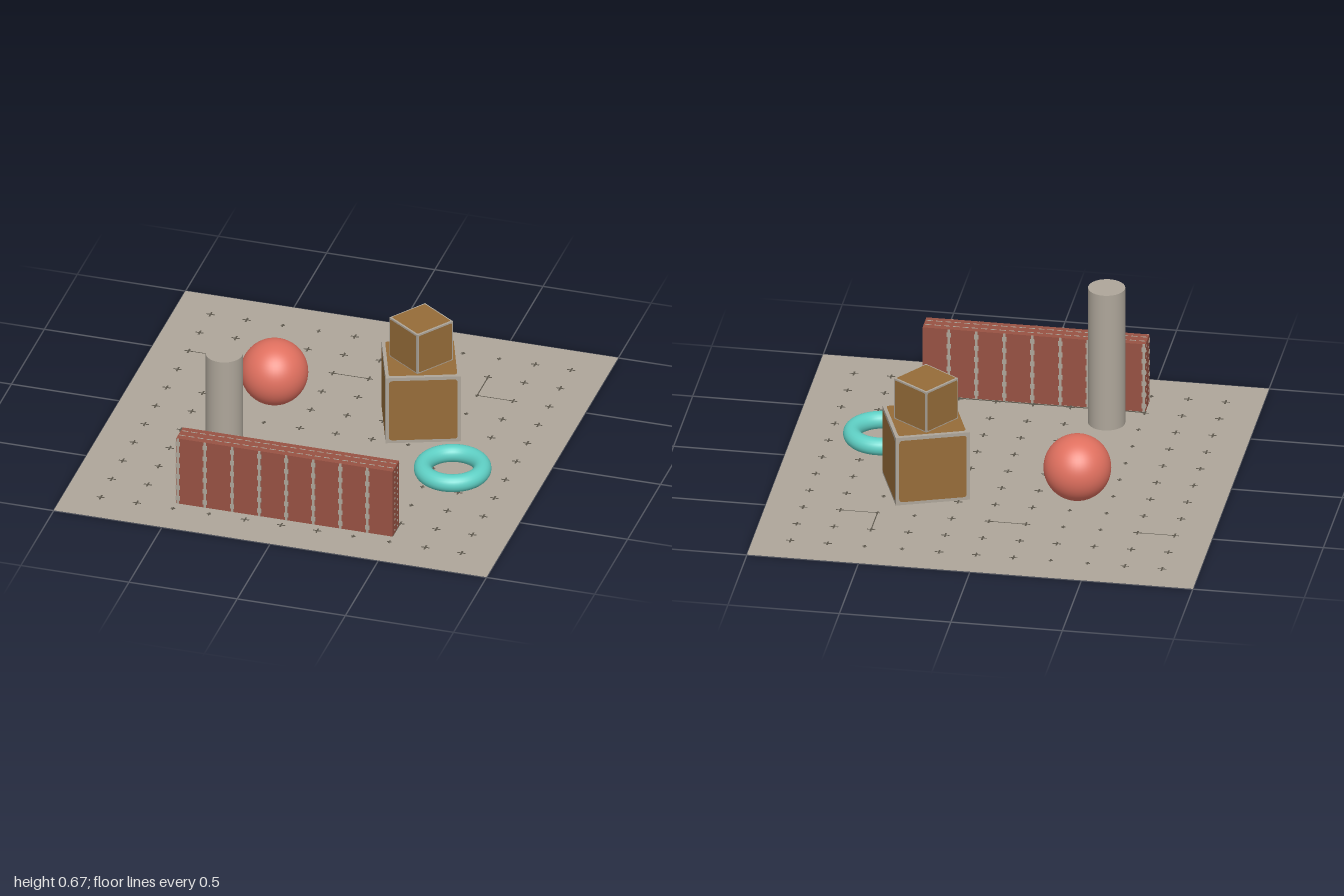
import * as THREE from 'three';
import { mergeGeometries } from 'three/addons/utils/BufferGeometryUtils.js';

const mat = (name, color, extra = {}) => {
  const m = new THREE.MeshStandardMaterial({ color, ...extra });
  m.name = name;
  return m;
};

export function createModel() {
  const stone = mat('stone grey', 0xaea69a, { side: THREE.DoubleSide });
  const grout = mat('dark grout', 0x5c564c);
  const wood = mat('crate wood', 0x966c39);
  const brick = mat('brick red', 0x985243);
  const coral = mat('coral red', 0xe0705f);
  const teal = mat('teal', 0x5fd0c5);

  const root = new THREE.Group();
  root.name = 'playground';
  const add = (name, geo, material, x = 0, y = 0, z = 0, parent = root) => {
    const m = new THREE.Mesh(geo, material);
    m.name = name;
    m.position.set(x, y, z);
    parent.add(m);
    return m;
  };

  // Ground sheet
  add('ground', new THREE.PlaneGeometry(2, 2).rotateX(-Math.PI / 2), stone);

  // Grout marks where the floor tiles meet
  const marks = [];
  const mark = (x, z, w, d) =>
    marks.push(new THREE.PlaneGeometry(w, d).rotateX(-Math.PI / 2).translate(x, 0.002, z));
  for (let i = -5; i <= 5; i++) {
    for (let j = -5; j <= 5; j++) {
      const big = Math.abs(i) === 4 || Math.abs(j) === 4;
      const crisp = Math.abs(i) === 5 || Math.abs(i) < 2;
      mark(i / 6, j / 6, crisp || big ? 0.038 : 0.02, 0.008);
      mark(i / 6, j / 6, 0.008, crisp || big ? 0.038 : 0.025);
    }
  }
  [-0.75, -0.083, 0.583].forEach((x) => mark(x, -0.5, 0.167, 0.005));
  mark(0, 0.672, 1, 0.01);
  mark(0.5, -0.583, 0.005, 0.167);
  mark(0.5, 0.73, 0.005, 0.11);
  add('tileJoints', mergeGeometries(marks), grout);

  // Brick wall with mortar strips on every visible side
  const wall = new THREE.Group();
  wall.name = 'brickWall';
  wall.position.set(0, 0.1667, 0.733);
  root.add(wall);
  const L = 1, H = 0.3333, T = 0.1;
  add('wallBody', new THREE.BoxGeometry(L, H, T), brick, 0, 0, 0, wall);
  const mortar = [];
  const strip = (w, h, d, x, y, z) =>
    mortar.push(new THREE.BoxGeometry(w, h, d).translate(x, y, z));
  for (const s of [-1, 1]) {
    const z = s * T / 2;
    for (let i = 0; i < 8; i++) {
      const x = -0.492 + i * 0.125;
      strip(0.011, H, 0.003, x, 0, z);
      for (let k = 0; k < 6; k++) strip(0.02, 0.022, 0.004, x, -0.139 + k * 0.0556, z);
    }
    // dotted joints on the ends, dashes along the top
    for (let k = 0; k < 12; k++) {
      for (const c of [-0.022, 0.018]) strip(0.003, 0.008, 0.007, s * L / 2, -0.15 + k * 0.027, c);
    }
    for (let k = 0; k < 24; k++) strip(0.028, 0.003, 0.004, -0.48 + k * 0.0417, H / 2, s * 0.02);
  }
  add('mortar', mergeGeometries(mortar), stone, 0, 0, 0, wall);

  // Crate: pale box with a rounded wooden panel on each face
  const panelShape = (size, r) => {
    const h = size / 2;
    const s = new THREE.Shape();
    s.moveTo(-h + r, -h);
    s.lineTo(h - r, -h).quadraticCurveTo(h, -h, h, -h + r);
    s.lineTo(h, h - r).quadraticCurveTo(h, h, h - r, h);
    s.lineTo(-h + r, h).quadraticCurveTo(-h, h, -h, h - r);
    s.lineTo(-h, -h + r).quadraticCurveTo(-h, -h, -h + r, -h);
    return s;
  };
  const crate = (name, size, border, y, turn) => {
    const g = new THREE.Group();
    g.name = name;
    g.position.set(0.333, y, -0.2);
    g.rotation.y = turn;
    root.add(g);
    add('crateFrame', new THREE.BoxGeometry(size, size, size), stone, 0, 0, 0, g);
    const faces = [];
    const base = () =>
      new THREE.ShapeGeometry(panelShape(size - 2 * border, border), 4).translate(0, 0, size / 2 + 0.0015);
    for (let i = 0; i < 4; i++) faces.push(base().rotateY(i * Math.PI / 2));
    faces.push(base().rotateX(-Math.PI / 2), base().rotateX(Math.PI / 2));
    add('cratePanels', mergeGeometries(faces), wood, 0, 0, 0, g);
  };
  crate('largeCrate', 0.3333, 0.015, 0.1667, 0.35);
  crate('smallCrate', 0.2, 0.007, 0.4333, -0.61);

  // Pillar, ball and ring
  add('pillar', new THREE.CylinderGeometry(0.0825, 0.0825, 0.6667, 32), stone, -0.348, 0.3333, 0.553);
  add('ball', new THREE.SphereGeometry(0.15, 48, 32), coral, -0.345, 0.15, -0.198);
  add('ring', new THREE.TorusGeometry(0.132, 0.04, 20, 56).rotateX(Math.PI / 2), teal, 0.6, 0.041, 0.2);

  return root;
}
